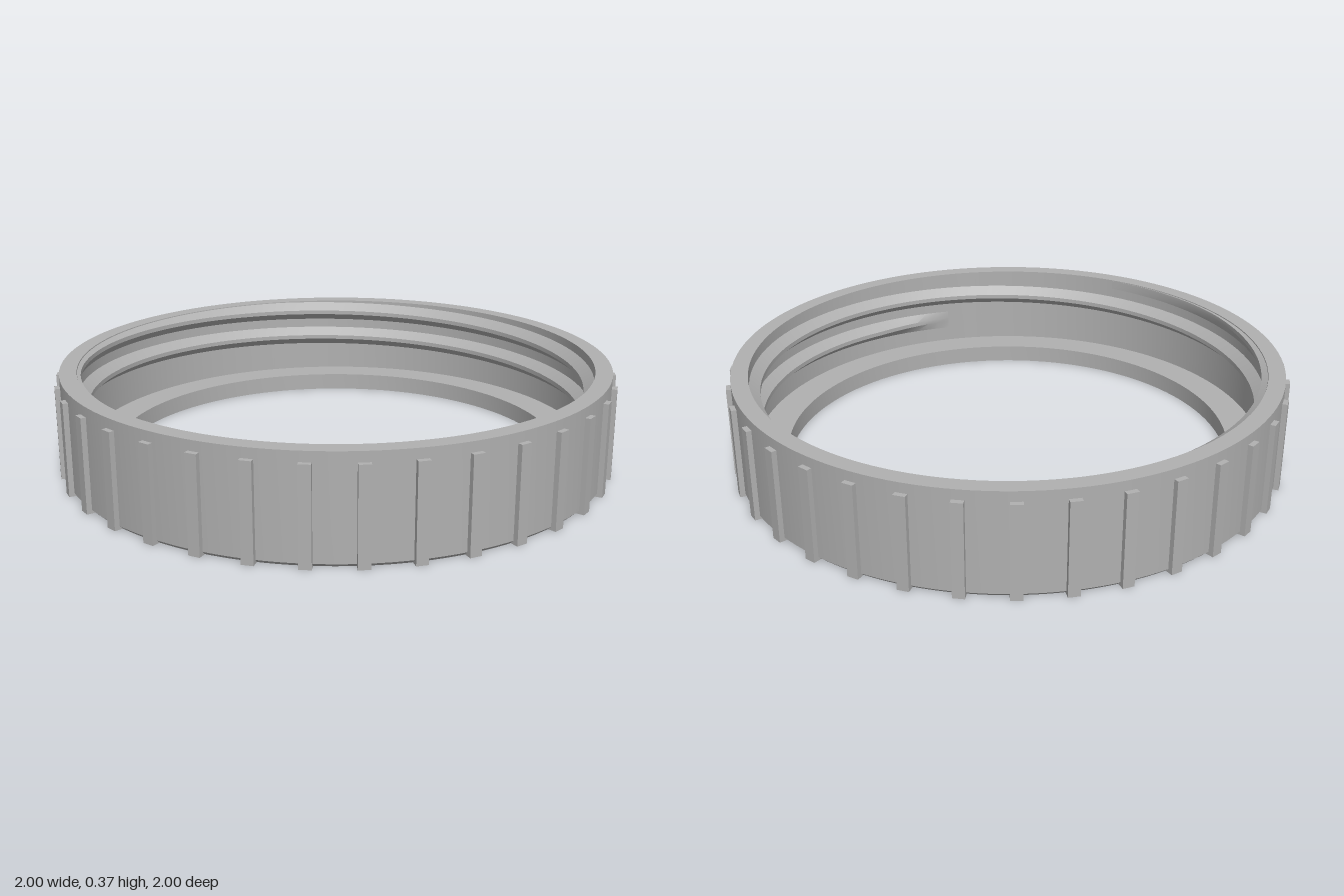
import * as THREE from 'three';
import { toCreasedNormals } from 'three/addons/utils/BufferGeometryUtils.js';

const WALL = 0.921, CREST = 0.885, TOP = 0.362;

// Screw thread: a trapezoid section swept up a right-handed helix, fading out at both ends
function threadGeometry() {
  const start = -45, end = 630, step = 3, pitch = 0.11;
  const positions = [], indices = [];
  const rows = (end - start) / step;
  for (let i = 0; i <= rows; i++) {
    const deg = start + i * step;
    const a = THREE.MathUtils.degToRad(deg);
    const y = 0.186 + pitch * (deg - 45) / 360;
    const fade = Math.min(1, (deg - start) / 20, (end - deg) / 120);
    const crest = WALL - (WALL - CREST) * fade;
    const section = [[WALL, -0.037], [crest, -0.008], [crest, 0.008], [WALL, 0.037]];
    for (const [r, dy] of section) {
      positions.push(r * Math.cos(a), Math.min(TOP, y + dy), -r * Math.sin(a));
    }
    if (i === rows) break;
    for (let j = 0; j < 3; j++) {
      const p = i * 4 + j, q = p + 4;
      indices.push(p, p + 1, q, p + 1, q + 1, q);
    }
  }
  const g = new THREE.BufferGeometry();
  g.setAttribute('position', new THREE.Float32BufferAttribute(positions, 3));
  g.setIndex(indices);
  g.computeVertexNormals();
  return toCreasedNormals(g, 0.4);
}

export function createModel() {
  const group = new THREE.Group();
  group.name = 'screwBand';
  const grey = new THREE.MeshStandardMaterial({ color: 0xb0b0b0 });
  grey.name = 'grey';

  // Ring wall with an inward lip at the bottom
  const profile = [
    [0.97, 0], [0.982, 0.012], [0.982, 0.365], [0.922, 0.365],
    [0.922, 0.065], [0.803, 0.065], [0.803, 0], [0.97, 0],
  ].map(([r, y]) => new THREE.Vector2(r, y));
  const band = new THREE.Mesh(toCreasedNormals(new THREE.LatheGeometry(profile, 144), 0.4), grey);
  band.name = 'band';
  group.add(band);

  // Internal thread
  const thread = new THREE.Mesh(threadGeometry(), grey);
  thread.name = 'thread';
  group.add(thread);

  // Grip ribs around the outside
  const ribs = new THREE.Group();
  ribs.name = 'gripRibs';
  const ribGeometry = new THREE.BoxGeometry(0.04, 0.33, 0.03);
  ribGeometry.translate(0, 0.165, 0.985);
  for (let i = 0; i < 36; i++) {
    const rib = new THREE.Mesh(ribGeometry, grey);
    rib.name = 'gripRib';
    rib.rotation.y = i * Math.PI / 18;
    ribs.add(rib);
  }
  group.add(ribs);
  return group;
}
